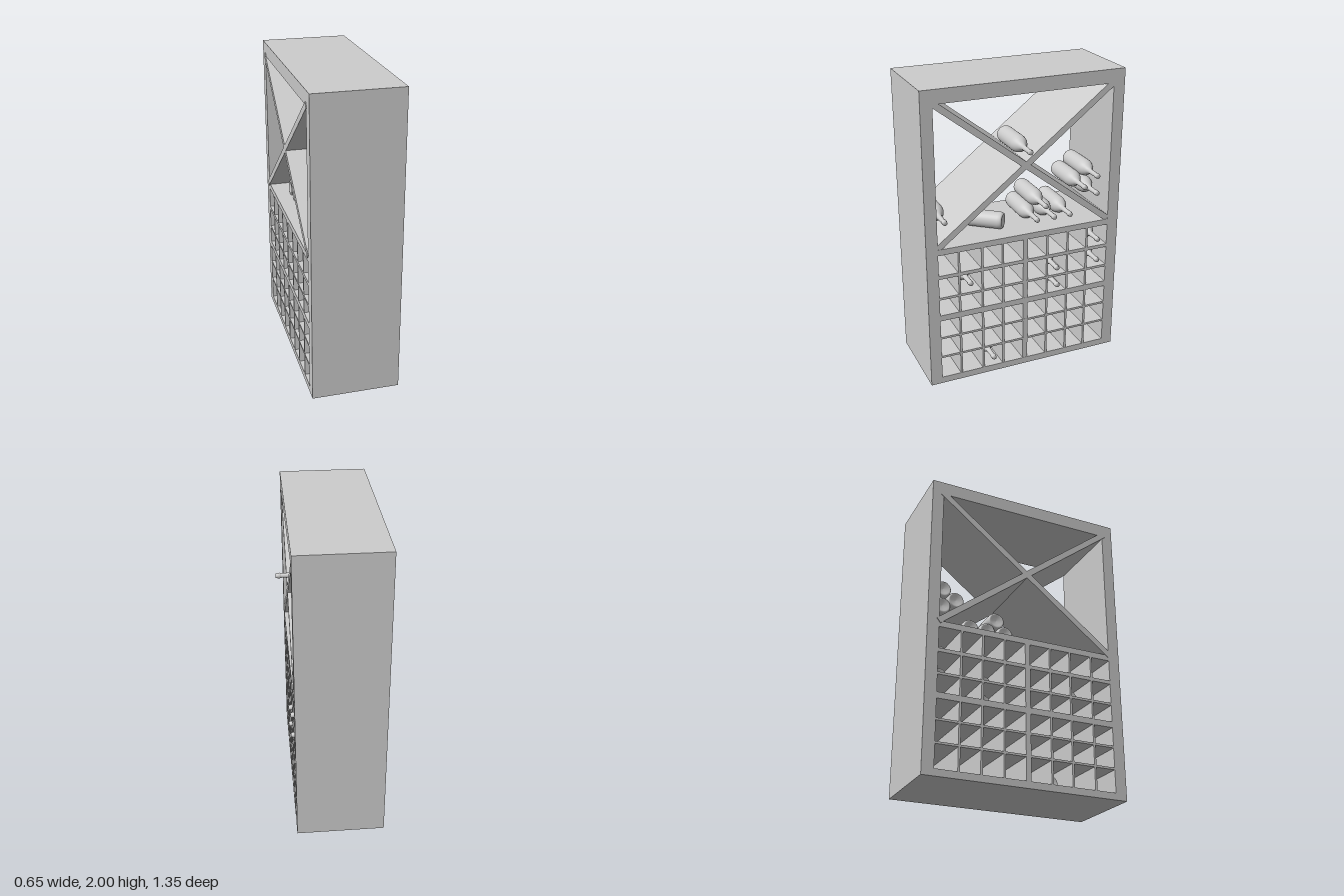
import * as THREE from 'three';

const BACK = -0.318, FRONT = 0.255;

export function createModel() {
  const rack = new THREE.Group();
  rack.name = 'bottleRack';
  const mat = new THREE.MeshStandardMaterial({ color: 0xcccccc });

  // Board running the depth of the rack, given by its z and y ranges
  function board(name, z0, z1, y0, y1, back = BACK, front = FRONT) {
    const mesh = new THREE.Mesh(new THREE.BoxGeometry(front - back, y1 - y0, z1 - z0), mat);
    mesh.position.set((front + back) / 2, (y0 + y1) / 2, (z0 + z1) / 2);
    mesh.name = name;
    rack.add(mesh);
    return mesh;
  }

  // Outer frame, open at both faces
  board('leftSidePanel', 0.598, 0.675, 0, 2);
  board('rightSidePanel', -0.675, -0.598, 0, 2);
  board('topPanel', -0.598, 0.598, 1.91, 2);
  board('bottomPanel', -0.598, 0.598, 0, 0.045);

  // Shelves of the lower grid, each with its bottom and top height
  const shelves = [[0.94, 0.98], [0.773, 0.797], [0.625, 0.641], [0.472, 0.512], [0.336, 0.35], [0.193, 0.207]];
  shelves.forEach(([y0, y1]) => board('shelf', -0.598, 0.598, y0, y1));

  // Upright dividers, the middle one thicker
  [0.46, 0.303, 0.159, 0, -0.157, -0.305, -0.447].forEach((z) => {
    const half = z === 0 ? 0.017 : 0.007;
    board('divider', z - half, z + half, 0.045, 0.94, BACK, FRONT - 0.001);
  });

  // Crossed boards of the upper compartment
  for (const side of [-1, 1]) {
    const brace = board('crossBoard', -0.765, 0.765, 1.429, 1.469, -0.323, FRONT - 0.002);
    brace.rotation.x = side * Math.atan2(0.93, 1.196);
  }

  // Bottle profile, base at 0 and mouth at LENGTH
  const LENGTH = 0.42;
  const profile = [
    [0, 0.012], [0.03, 0.008], [0.042, 0], [0.05, 0.003], [0.055, 0.012], [0.057, 0.03],
    [0.057, 0.22], [0.054, 0.24], [0.046, 0.262], [0.034, 0.28], [0.023, 0.293], [0.017, 0.31],
    [0.0145, 0.385], [0.0145, 0.39], [0.0175, 0.392], [0.0175, 0.408], [0.015, 0.41], [0.015, LENGTH], [0, LENGTH],
  ].map(([r, h]) => new THREE.Vector2(r, h));
  const bottleGeometry = new THREE.LatheGeometry(profile, 32);
  bottleGeometry.rotateZ(-Math.PI / 2); // mouth towards +x

  function bottle(x, y, z, yaw = 0) {
    const mesh = new THREE.Mesh(bottleGeometry, mat);
    mesh.position.set(x, y, z);
    mesh.rotation.y = yaw;
    mesh.name = 'bottle';
    rack.add(mesh);
  }

  // Stored bottles: mouth x, height y, z
  const stored = [
    [0.323, 1.555, 0], [0.23, 1.14, 0.536],
    [0.2, 1.032, -0.11], [0.2, 1.032, -0.234], [0.2, 1.032, -0.35], [0.2, 1.118, -0.172],
    [0.21, 1.21, -0.45], [0.22, 1.28, -0.535], [0.21, 1.155, -0.54],
    [0.25, 0.695, 0.38], [0.275, 0.695, -0.224], [0.275, 0.567, -0.228],
    [0.275, 0.848, -0.524], [0.275, 0.695, -0.524], [0.258, 0.102, 0.226],
  ];
  stored.forEach(([x, y, z]) => bottle(x - LENGTH, y, z));

  // Loose bottle lying askew on the upper shelf
  bottle(0.12, 1.037, 0.1, -Math.PI / 2 - 0.68);

  return rack;
}
